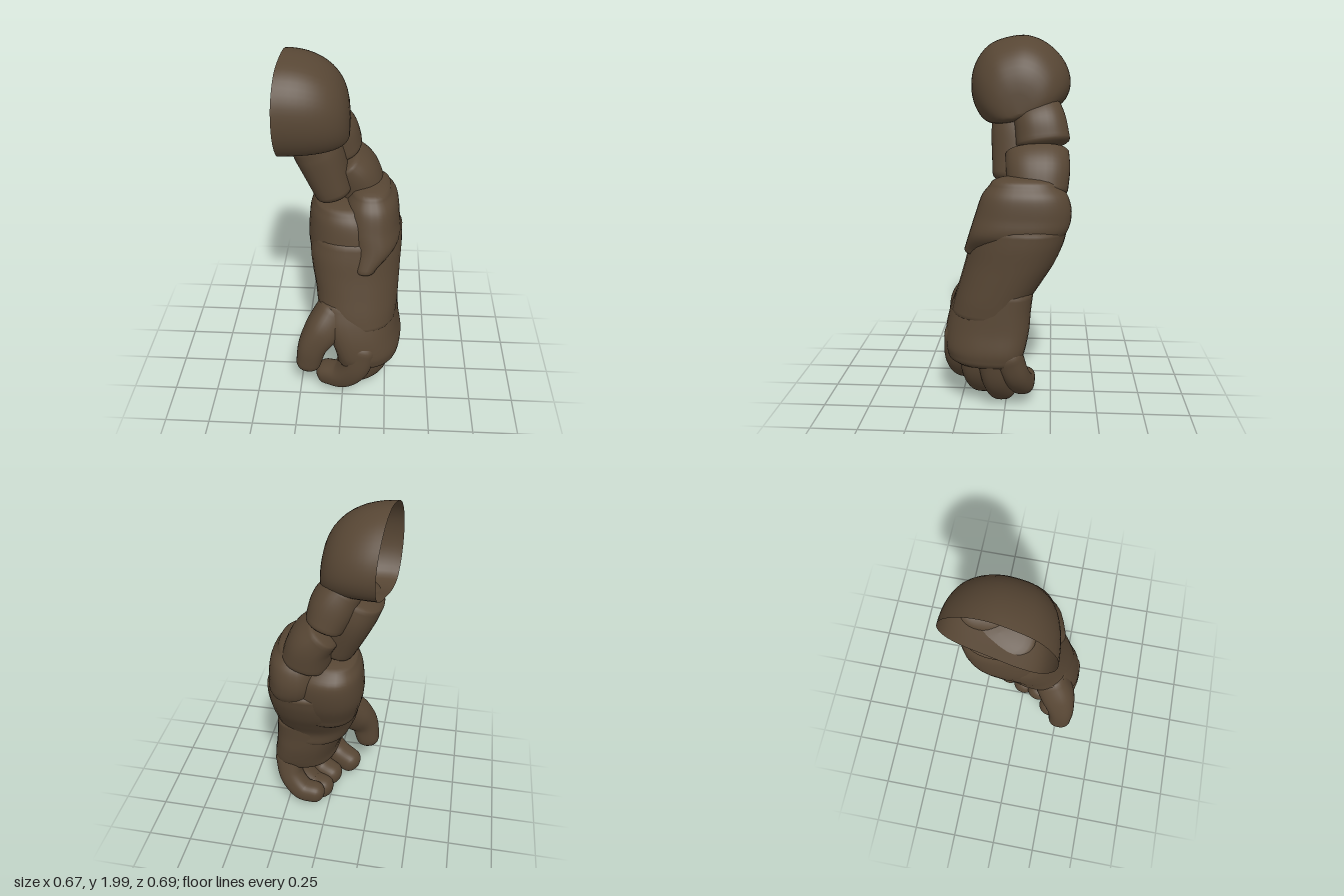
import * as THREE from 'three';

const brown = new THREE.MeshStandardMaterial({ color: 0x574634, side: THREE.DoubleSide });
brown.name = 'dark brown';

// Skin a list of closed rings (arrays of Vector3) with a smooth surface.
function skin(rings) {
  const n = rings[0].length, pos = [], idx = [];
  rings.forEach(r => r.forEach(p => pos.push(p.x, p.y, p.z)));
  for (let i = 0; i < rings.length - 1; i++) {
    for (let j = 0; j < n; j++) {
      const k = (j + 1) % n, a = i * n, b = a + n;
      idx.push(a + j, a + k, b + j, a + k, b + k, b + j);
    }
  }
  const g = new THREE.BufferGeometry();
  g.setAttribute('position', new THREE.Float32BufferAttribute(pos, 3));
  g.setIndex(idx);
  g.computeVertexNormals();
  return g;
}

// Loft rows of [x, y, z, radiusAcross, radiusZ] from top to bottom, with rounded ends.
// boxy: below 1 squares the section; skew: stretches it along the +x -z diagonal.
function loft(rows, capTop, capEnd, { flat = false, boxy = 0.85, skew = 0 } = {}) {
  const path = new THREE.CatmullRomCurve3(rows.map(r => new THREE.Vector3(r[0], r[1], r[2])), false, 'catmullrom');
  const size = new THREE.CatmullRomCurve3(rows.map(r => new THREE.Vector3(r[3], r[4], 0)), false, 'catmullrom');
  const rings = [], steps = (rows.length - 1) * 6;
  const bend = v => Math.sign(v) * Math.abs(v) ** boxy;
  const add = (u, scale, shift) => {
    const t = flat ? new THREE.Vector3(0, -1, 0) : path.getTangent(u);
    const c = path.getPoint(u).addScaledVector(t, shift), s = size.getPoint(u);
    const b = new THREE.Vector3(0, 0, 1).addScaledVector(t, -t.z).normalize();
    const a = new THREE.Vector3().crossVectors(b, t);
    rings.push(Array.from({ length: 32 }, (_, j) => {
      const f = j / 32 * Math.PI * 2;
      return c.clone().addScaledVector(a, bend(Math.cos(f)) * s.x * scale)
        .addScaledVector(b, bend(Math.sin(f - skew)) * s.y * scale);
    }));
  };
  for (let i = 0; i < 6; i++) {
    const q = i / 6 * Math.PI / 2;
    add(0, Math.max(Math.sin(q), 0.002), -capTop * Math.cos(q));
  }
  for (let i = 0; i <= steps; i++) add(i / steps, 1, 0);
  for (let i = 5; i >= 0; i--) {
    const q = i / 6 * Math.PI / 2;
    add(1, Math.max(Math.sin(q), 0.002), capEnd * Math.cos(q));
  }
  return skin(rings);
}

// Turn horizontal extents [y, xMin, xMax, zMin, zMax] into loft rows.
const spans = list => list.map(([y, x0, x1, z0, z1]) =>
  [(x0 + x1) / 2, y, (z0 + z1) / 2, (x1 - x0) / 2, (z1 - z0) / 2]);

// Hollow shoulder dome, open towards -x; the outline is given as [z, y].
function shoulderDome() {
  const outline = [[0.2, 1.61], [0.14, 1.53], [0.04, 1.515], [-0.1, 1.55], [-0.23, 1.59], [-0.31, 1.65],
    [-0.337, 1.74], [-0.305, 1.85], [-0.21, 1.95], [-0.1, 1.995], [0, 1.99], [0.12, 1.945], [0.2, 1.84], [0.222, 1.72]];
  const rim = new THREE.CatmullRomCurve3(outline.map(([z, y]) => new THREE.Vector3(0, y, z)), true)
    .getPoints(56).slice(0, 56);
  const rings = [];
  for (let i = 0; i <= 14; i++) {
    const q = i / 14 * Math.PI / 2, s = Math.max(Math.cos(q), 0) ** 0.62;
    const cy = THREE.MathUtils.lerp(1.59, 1.75, s), cz = THREE.MathUtils.lerp(-0.06, -0.055, s);
    rings.push(rim.map(p => {
      const edge = -0.307 - 0.126 * p.z;
      return new THREE.Vector3(THREE.MathUtils.lerp(edge, 0.028, Math.sin(q)),
        cy + (p.y - 1.75) * s, cz + (p.z + 0.055) * s);
    }));
  }
  return skin(rings);
}

export function createModel() {
  const arm = new THREE.Group();
  arm.name = 'arm';
  const part = (name, geometry) => {
    const m = new THREE.Mesh(geometry, brown);
    m.name = name;
    arm.add(m);
  };

  part('shoulder', shoulderDome());

  // Upper arm
  part('biceps', loft([[-0.165, 1.54, -0.08, 0.13, 0.175], [-0.125, 1.44, -0.085, 0.13, 0.18],
    [-0.06, 1.25, -0.07, 0.105, 0.155]], 0.03, 0.06));
  part('triceps', loft([[-0.09, 1.6, -0.15, 0.1, 0.135], [-0.05, 1.53, -0.175, 0.115, 0.14],
    [-0.015, 1.44, -0.19, 0.105, 0.145]], 0.04, 0.04));
  part('elbow', loft([[0.0, 1.375, -0.16, 0.1, 0.17], [0.06, 1.3, -0.165, 0.12, 0.17],
    [0.09, 1.2, -0.165, 0.13, 0.16]], 0.03, 0.05));

  // Forearm
  part('innerForearm', loft(spans([[1.17, -0.165, 0.14, -0.28, 0.1], [1.1, -0.192, 0.2, -0.33, 0.14],
    [0.95, -0.2, 0.24, -0.31, 0.175], [0.8, -0.17, 0.24, -0.24, 0.21]]), 0.035, 0.1,
    { flat: true, boxy: 0.85, skew: -0.13 }));
  part('elbowMuscle', loft(spans([[1.24, 0.03, 0.25, -0.27, 0.08], [1.18, 0.005, 0.286, -0.325, 0.125],
    [1.08, 0.0, 0.3, -0.345, 0.16], [0.98, 0.02, 0.3, -0.31, 0.192],
    [0.88, 0.04, 0.2, -0.18, 0.224]]), 0.045, 0.05, { flat: true }));
  part('forearm', loft(spans([[1.0, -0.17, 0.318, -0.325, 0.175], [0.92, -0.185, 0.32, -0.305, 0.198],
    [0.82, -0.175, 0.315, -0.262, 0.222], [0.72, -0.155, 0.31, -0.2, 0.25],
    [0.62, -0.14, 0.305, -0.14, 0.28], [0.54, -0.11, 0.3, -0.13, 0.3]]), 0.05, 0.06,
    { flat: true, boxy: 0.87, skew: 0.12 }));

  // Hand
  part('palm', loft(spans([[0.66, -0.13, 0.3, -0.15, 0.262], [0.56, -0.12, 0.308, -0.138, 0.305],
    [0.46, -0.075, 0.318, -0.13, 0.332], [0.36, -0.04, 0.335, -0.11, 0.342],
    [0.3, -0.03, 0.33, -0.09, 0.33]]), 0.04, 0.06, { flat: true, boxy: 0.8, skew: 0.34 }));
  part('thumb', loft([[-0.05, 0.59, 0.18, 0.1, 0.1], [-0.11, 0.5, 0.235, 0.1, 0.1],
    [-0.163, 0.41, 0.268, 0.083, 0.08], [-0.188, 0.3, 0.272, 0.072, 0.07]], 0.05, 0.07));

  // Curled fingers, knuckle to tip: [x, y, z, radius]
  const fingers = {
    indexFinger: [[0.115, 0.39, 0.26, 0.082], [0.08, 0.26, 0.265, 0.08], [0.005, 0.165, 0.24, 0.076], [-0.092, 0.135, 0.195, 0.07]],
    middleFinger: [[0.19, 0.36, 0.165, 0.088], [0.17, 0.22, 0.16, 0.08], [0.095, 0.12, 0.135, 0.075], [0.01, 0.095, 0.1, 0.069]],
    ringFinger: [[0.24, 0.34, 0.065, 0.085], [0.215, 0.19, 0.05, 0.077], [0.13, 0.087, 0.025, 0.073], [0.045, 0.073, 0.0, 0.068]],
    littleFinger: [[0.25, 0.32, -0.02, 0.08], [0.23, 0.21, -0.06, 0.07], [0.16, 0.13, -0.09, 0.066], [0.08, 0.12, -0.1, 0.062]],
  };
  for (const [name, rows] of Object.entries(fingers)) {
    part(name, loft(rows.map(([x, y, z, r]) => [x, y, z, r, r]), 0.07, 0.06));
  }
  return arm;
}
